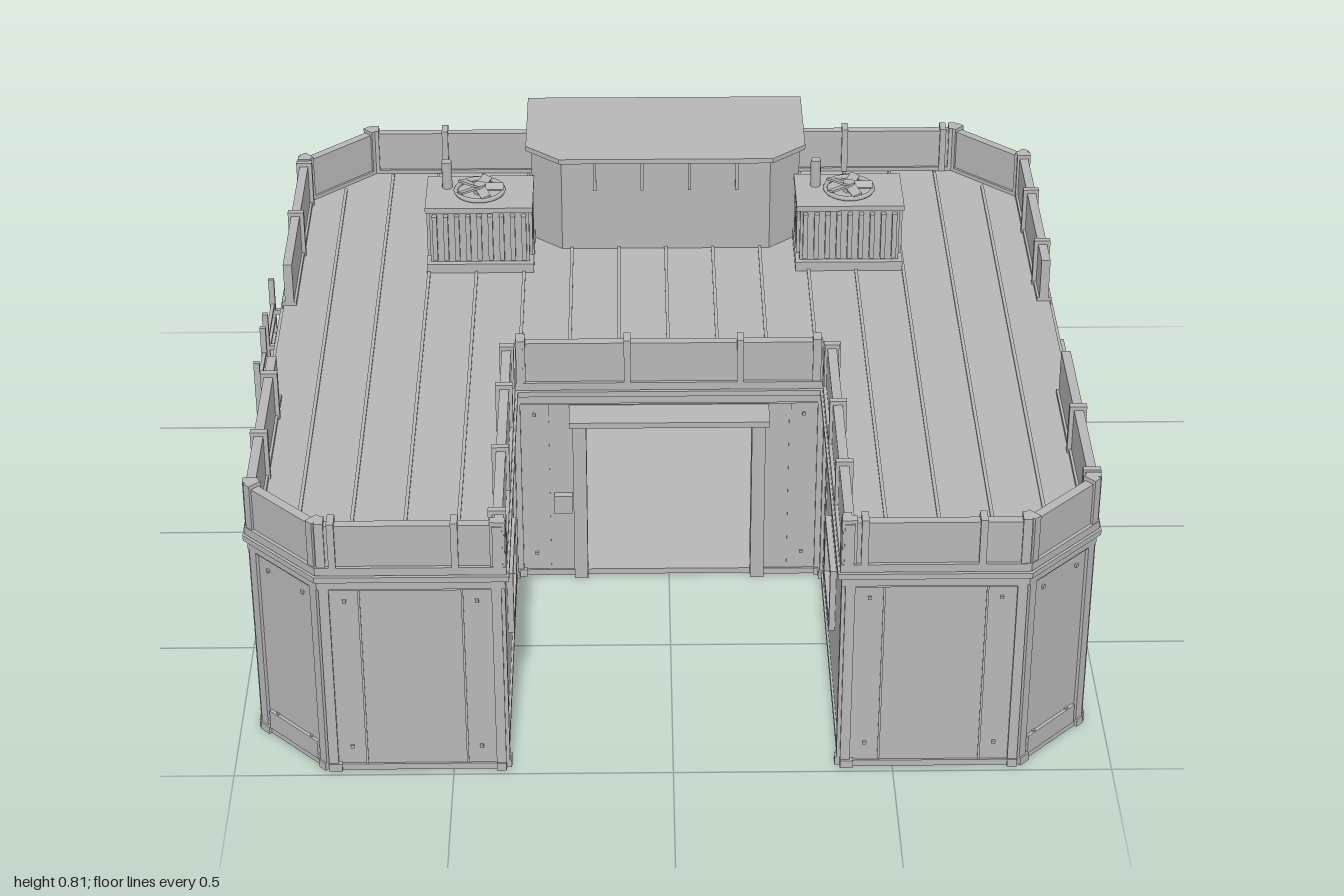
import * as THREE from 'three';

const grey = new THREE.MeshStandardMaterial({ color: 0xb6b6b6 });
grey.name = 'concreteGrey';

function add(parent, name, geometry, x = 0, y = 0, z = 0) {
  const mesh = new THREE.Mesh(geometry, grey);
  mesh.name = name;
  mesh.position.set(x, y, z);
  parent.add(mesh);
  return mesh;
}

// box given by its ranges on each axis
function box(parent, name, x0, x1, y0, y1, z0, z1) {
  return add(parent, name, new THREE.BoxGeometry(x1 - x0, y1 - y0, z1 - z0),
    (x0 + x1) / 2, (y0 + y1) / 2, (z0 + z1) / 2);
}

// U-shaped plan with cut corners, inset by d; [x, z] pairs, outward side on the right hand
function outline(d) {
  const c = 0.41 * d;
  const half = [
    [0.365 + d, 0.21 - d], [0.365 + d, 0.99 - d], [0.79 - c, 0.99 - d],
    [0.96 - d, 0.82 - c], [0.96 - d, -0.76 + c], [0.78 - c, -0.93 + d],
  ];
  return [...half, ...half.slice().reverse().map(([x, z]) => [-x, z])];
}

// horizontal slab from a plan
function slab(parent, name, plan, y0, y1) {
  const shape = new THREE.Shape(plan.map(([x, z]) => new THREE.Vector2(x, -z)));
  const geo = new THREE.ExtrudeGeometry(shape, { depth: y1 - y0, bevelEnabled: false });
  geo.rotateX(-Math.PI / 2);
  return add(parent, name, geo, 0, y0, 0);
}

// group whose x runs along plan edge i and whose z points out of the building
function edgeFrame(parent, name, plan, i) {
  const a = plan[i], b = plan[(i + 1) % plan.length];
  const dx = b[0] - a[0], dz = b[1] - a[1], length = Math.hypot(dx, dz);
  const group = new THREE.Group();
  group.name = name;
  group.position.set(a[0], 0, a[1]);
  group.rotation.y = Math.atan2(-dz, dx);
  parent.add(group);
  const along = Math.abs(dx) > Math.abs(dz) ? (v) => (v - a[0]) * Math.sign(dx) : (v) => (v - a[1]) * Math.sign(dz);
  return { group, length, along };
}

const NAMES = ['courtyardLeft', 'frontLeft', 'frontLeftCorner', 'leftSide', 'backLeftCorner', 'back',
  'backRightCorner', 'rightSide', 'frontRightCorner', 'frontRight', 'courtyardRight', 'courtyardBack'];
const DOOR = { kind: 'door', range: [-0.2, 0.2], y0: 0.015, y1: 0.45 };
const WINDOW = { kind: 'window', range: [-0.18, 0.24], y0: 0.195, y1: 0.4, bars: [0.115, -0.05] };
const HATCH = { kind: 'hatch', range: [0.47, 0.67], y0: 0.19, y1: 0.32 };
const OPENINGS = { 0: HATCH, 3: WINDOW, 5: DOOR, 7: WINDOW, 10: HATCH, 11: DOOR };
// parapet post places along each edge
const POSTS = {
  0: [0.22, 0.48, 0.74], 1: [0.42, 0.68], 3: [-0.55, -0.28, 0.51, 0.78],
  5: [-0.58, -0.31, -0.04, 0.22, 0.48, 0.74], 7: [-0.72, -0.45, 0.34, 0.6],
  9: [-0.75, -0.48], 10: [0.4, 0.67, 0.93], 11: [-0.36, -0.1, 0.17],
};

function buildWall(parent, plan, i) {
  const { group, length, along } = edgeFrame(parent, NAMES[i] + 'Wall', plan, i);
  const shape = new THREE.Shape([[0, 0], [length, 0], [length, 0.52], [0, 0.52]].map((p) => new THREE.Vector2(...p)));
  const o = OPENINGS[i];
  let u0, u1;
  if (o) {
    [u0, u1] = o.range.map(along).sort((p, q) => p - q);
    shape.holes.push(new THREE.Path([[u0, o.y0], [u0, o.y1], [u1, o.y1], [u1, o.y0]].map((p) => new THREE.Vector2(...p))));
  }
  const wall = new THREE.ExtrudeGeometry(shape, { depth: 0.03, bevelEnabled: false });
  add(group, 'wallPanel', wall, 0, 0, -0.03);

  // trims, corner strips and bolts
  box(group, 'topTrim', 0, length, 0.495, 0.525, -0.01, 0.006);
  const spans = o && o.kind === 'door' ? [[0, u0], [u1, length]] : [[0, length]];
  for (const [s, e] of spans) box(group, 'baseTrim', s, e, 0, 0.016, -0.01, 0.005);
  for (const s of [0, length - 0.022]) {
    box(group, 'cornerStrip', s, s + 0.022, 0, 0.52, -0.01, 0.008);
    box(group, 'cornerFoot', s, s + 0.03 * (s ? 0.73 : 1), 0, 0.02, -0.01, 0.012);
  }
  if (length < 0.3) {
    box(group, 'kickPlate', 0.03, length - 0.03, 0.016, 0.065, -0.01, 0.008);
  } else {
    for (const s of [0.085, length - 0.09]) box(group, 'panelSeam', s, s + 0.005, 0.016, 0.495, -0.005, 0.003);
  }
  for (const y of [0.06, 0.46]) {
    for (const s of [0.055, length - 0.055]) box(group, 'bolt', s - 0.004, s + 0.004, y, y + 0.008, -0.005, 0.005);
  }

  if (!o) return;
  if (o.kind === 'door') {
    for (const s of [u0 - 0.033, u1]) box(group, 'doorJamb', s, s + 0.033, 0, 0.475, -0.035, 0.02);
    box(group, 'doorLintel', u0, u1, o.y1, 0.475, -0.035, 0.02);
    box(group, 'doorCanopy', u0 - 0.04, u1 + 0.04, 0.475, 0.49, -0.01, 0.083);
    box(group, 'doorKeypad', u0 - 0.08, u0 - 0.036, 0.19, 0.24, 0, 0.018);
  } else {
    const t = o.kind === 'window' ? 0.016 : 0.018;
    for (const s of [u0 - t, u1]) box(group, 'windowJamb', s, s + t, o.y0 - t, o.y1 + t, -0.035, 0.014);
    for (const y of [o.y0 - t, o.y1]) box(group, 'windowRail', u0, u1, y, y + t, -0.035, 0.014);
    if (o.bars) {
      for (const b of o.bars) box(group, 'windowBar', along(b) - 0.006, along(b) + 0.006, o.y0, o.y1, -0.02, -0.008);
      box(group, 'windowCanopy', u0 - 0.027, u1 + 0.027, 0.416, 0.43, -0.01, 0.053);
      for (const s of [u0 - 0.014, u1 + 0.004]) box(group, 'canopyBracket', s, s + 0.01, 0.385, 0.416, 0, 0.035);
    }
  }
}

function buildParapet(parent, plan, i) {
  const { group, length, along } = edgeFrame(parent, NAMES[i] + 'Parapet', plan, i);
  const gap = i === 3 || i === 7 ? [-0.19, 0.25].map(along).sort((p, q) => p - q) : null;
  const spans = gap ? [[0, gap[0]], [gap[1], length]] : [[0, length]];
  for (const [s, e] of spans) {
    box(group, 'parapetPanel', s, e, 0.54, 0.665, -0.03, -0.008);
    box(group, 'parapetBase', s, e, 0.54, 0.56, -0.036, 0);
  }
  for (const p of POSTS[i] || []) {
    const u = THREE.MathUtils.clamp(along(p), 0.01, length - 0.01);
    box(group, 'parapetPost', u - 0.008, u + 0.008, 0.54, 0.675, -0.04, 0);
  }
  for (const s of [0.004, length - 0.024]) box(group, 'parapetEndPost', s, s + 0.02, 0.54, 0.675, -0.036, -0.002);
}

// fan unit with slatted front, round fan and vent pipe
function buildFanUnit(parent, name, x, z) {
  const unit = new THREE.Group();
  unit.name = name;
  unit.position.set(x, 0, z);
  parent.add(unit);
  box(unit, 'unitBase', -0.135, 0.135, 0.55, 0.575, -0.09, 0.09);
  box(unit, 'unitBody', -0.125, 0.125, 0.575, 0.72, -0.08, 0.075);
  box(unit, 'unitLid', -0.135, 0.135, 0.718, 0.732, -0.09, 0.085);
  for (let k = 0; k < 9; k++) {
    const s = -0.112 + k * 0.028;
    box(unit, 'frontSlat', s - 0.006, s + 0.006, 0.585, 0.71, 0.07, 0.09);
  }
  for (let k = 0; k < 5; k++) {
    const s = -0.056 + k * 0.028;
    for (const q of [-1, 1]) box(unit, 'sideSlat', q * 0.128 - 0.005, q * 0.128 + 0.005, 0.585, 0.71, s - 0.005, s + 0.005);
  }
  const ring = new THREE.TorusGeometry(0.06, 0.006, 6, 24).rotateX(Math.PI / 2);
  add(unit, 'fanRing', ring, 0, 0.74, 0);
  add(unit, 'fanHub', new THREE.CylinderGeometry(0.015, 0.015, 0.03, 12), 0, 0.742, 0);
  for (let k = 0; k < 5; k++) {
    const blade = add(unit, 'fanBlade', new THREE.BoxGeometry(0.052, 0.005, 0.025).translate(0.034, 0, 0), 0, 0.748, 0);
    blade.rotation.set(0.3, k * Math.PI * 0.4, 0, 'YXZ');
  }
  add(unit, 'ventPipe', new THREE.CylinderGeometry(0.013, 0.013, 0.08, 12), -0.083, 0.765, -0.03);
}

function buildLadder(parent, name, z0, z1) {
  const ladder = new THREE.Group();
  ladder.name = name;
  parent.add(ladder);
  for (const z of [z0, z1 - 0.012]) {
    box(ladder, 'ladderRail', -1, -0.986, 0, 0.57, z, z + 0.012);
    for (const y of [0.08, 0.47]) box(ladder, 'ladderBracket', -0.988, -0.94, y, y + 0.012, z, z + 0.012);
  }
  for (let k = 0; k < 12; k++) {
    const y = 0.035 + k * 0.0415;
    box(ladder, 'ladderRung', -0.997, -0.988, y, y + 0.01, z0, z1);
  }
}

export function createModel() {
  const model = new THREE.Group();
  model.name = 'outpostBuilding';

  // floor, roof and edge moulding
  slab(model, 'floor', outline(0.014), 0, 0.015);
  slab(model, 'roofDeck', outline(0.006), 0.5, 0.55);
  slab(model, 'cornice', outline(-0.003), 0.524, 0.538);

  const wallPlan = outline(0.015), parapetPlan = outline(0.002);
  for (let i = 0; i < NAMES.length; i++) {
    buildWall(model, wallPlan, i);
    buildParapet(model, parapetPlan, i);
  }

  // roof plank seams
  for (let k = -7; k <= 7; k++) {
    const x = k * 0.12, end = Math.abs(x) < 0.4 ? 0.16 : 0.93;
    const trim = Math.max(0, Math.abs(x) - 0.76);
    box(model, 'roofSeam', x - 0.004, x + 0.004, 0.549, 0.555, -0.88 + trim, end - trim);
  }

  // rooftop cabin with cut front corners
  const cabin = (d) => [[-0.355 + d, -0.81 + d], [-0.355 + d, -0.535 - d * 0.4], [-0.27 + d * 0.4, -0.46 - d],
    [0.27 - d * 0.4, -0.46 - d], [0.355 - d, -0.535 - d * 0.4], [0.355 - d, -0.81 + d]];
  slab(model, 'cabinBody', cabin(0.014), 0.55, 0.8);
  slab(model, 'cabinRoof', cabin(0), 0.8, 0.813);
  for (const x of [-0.18, -0.06, 0.06, 0.18]) box(model, 'cabinRib', x - 0.004, x + 0.004, 0.72, 0.8, -0.48, -0.468);

  buildFanUnit(model, 'rightFanUnit', -0.47, -0.44);
  buildFanUnit(model, 'leftFanUnit', 0.462, -0.44);
  buildLadder(model, 'frontLadder', -0.055, 0.125);
  buildLadder(model, 'backLadder', -0.295, -0.108);
  return model;
}
